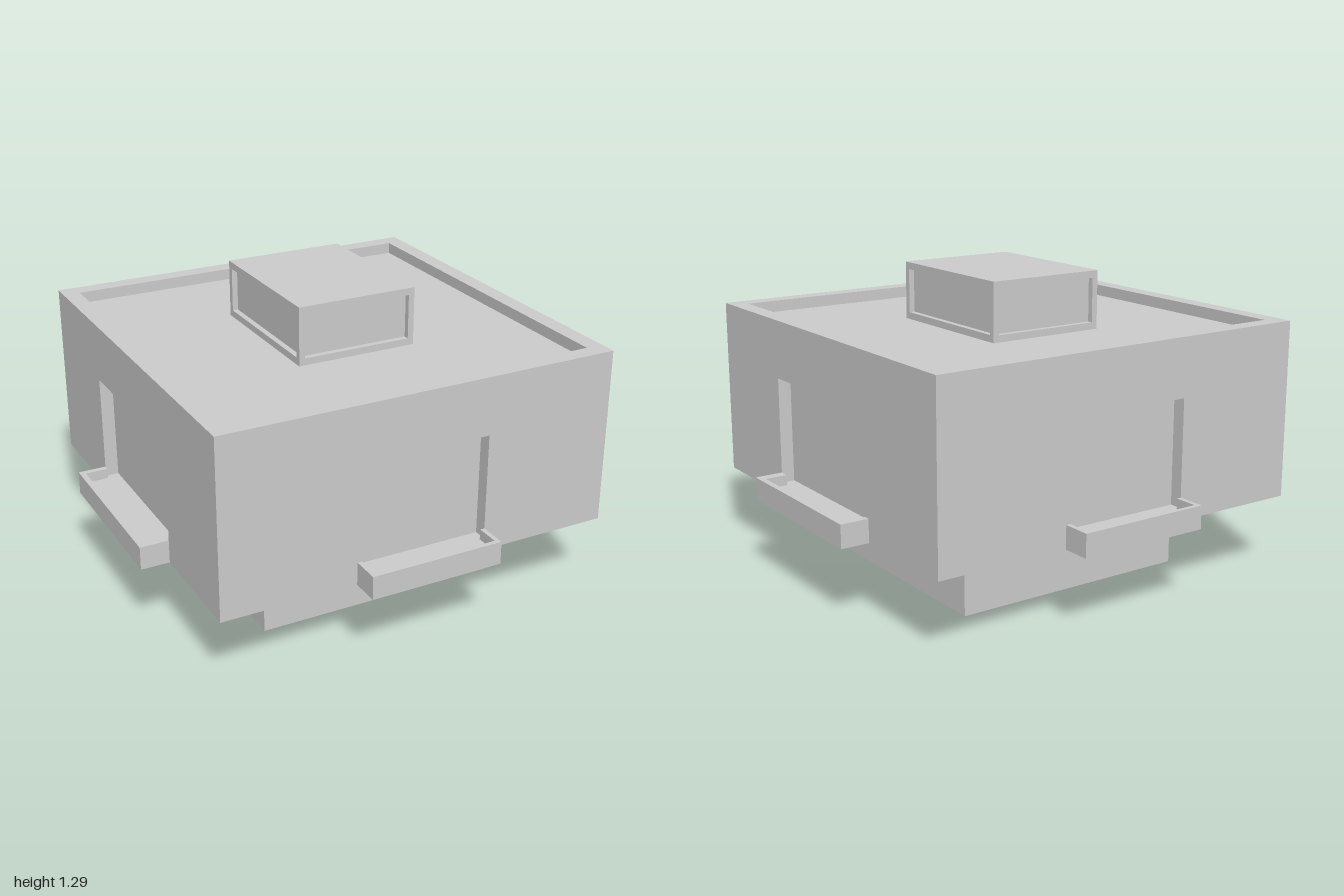
import * as THREE from 'three';

const material = new THREE.MeshStandardMaterial({ color: 0xcccccc, flatShading: true });

function mesh(name, geometry) {
  const m = new THREE.Mesh(geometry, material);
  m.name = name;
  return m;
}

// Box given by its minimum and maximum corners
function block(name, [x0, y0, z0], [x1, y1, z1]) {
  const g = new THREE.BoxGeometry(x1 - x0, y1 - y0, z1 - z0);
  g.translate((x0 + x1) / 2, (y0 + y1) / 2, (z0 + z1) / 2);
  return mesh(name, g);
}

function polygon(points, Type = THREE.Shape) {
  return new Type(points.map(([x, y]) => new THREE.Vector2(x, y)));
}

const rect = (x0, y0, x1, y1) => [[x0, y0], [x1, y0], [x1, y1], [x0, y1]];

// Wall with one opening, outer face at z = 0, ends mitred to meet its neighbours
function mitredWall(name, half, y0, y1, thick, openHalf, open0, open1) {
  const shape = polygon(rect(-half, y0, half, y1));
  shape.holes.push(polygon(rect(-openHalf, open0, openHalf, open1).reverse(), THREE.Path));
  const g = new THREE.ExtrudeGeometry(shape, { depth: thick, bevelEnabled: false });
  g.translate(0, 0, -thick);
  const p = g.attributes.position;
  for (let i = 0; i < p.count; i++) {
    const x = p.getX(i);
    if (p.getZ(i) < -thick / 2 && Math.abs(x) > half - 1e-4) p.setX(i, x - Math.sign(x) * thick);
  }
  g.computeVertexNormals();
  return mesh(name, g);
}

// Balcony tray: U-shaped rim around a lower floor
function balcony(half, rimLeft, rimRight, rimFront) {
  const group = new THREE.Group();
  group.name = 'balcony';
  const out = 0.123, a = -half + rimLeft, b = half - rimRight, c = out - rimFront;
  const plan = [[-half, 0], [-half, -out], [half, -out], [half, 0], [b, 0], [b, -c], [a, -c], [a, 0]];
  const rim = new THREE.ExtrudeGeometry(polygon(plan), { depth: 0.1, bevelEnabled: false });
  rim.rotateX(-Math.PI / 2);
  rim.translate(0, 0.33, 0);
  group.add(mesh('balconyRim', rim));
  group.add(block('balconyFloor', [a, 0.33, 0], [b, 0.385, c]));
  return group;
}

export function createModel() {
  const model = new THREE.Group();
  const HX = 0.875, HZ = 0.87, WALL = 0.075;

  // Plinth, and the solid core whose top is the sunken roof
  model.add(block('plinth', [-0.54, 0, -0.537], [0.54, 0.33, 0.537]));
  model.add(block('roofCore', [-HX + WALL, 0.33, -HZ + WALL], [HX - WALL, 1.045, HZ - WALL]));

  // Roof house: core plus four framed sides
  const house = new THREE.Group();
  house.name = 'roofHouse';
  house.position.z = -0.01;
  const BX = 0.265, BZ = 0.335, FRAME = 0.025;
  house.add(block('roofHouseCore', [-BX + FRAME, 1.045, -BZ + FRAME], [BX - FRAME, 1.295, BZ - FRAME]));
  model.add(house);

  // Four sides: front, left, back, right
  const names = ['front', 'left', 'back', 'right'];
  for (let i = 0; i < 4; i++) {
    const side = i % 2 === 1;
    const angle = (i * Math.PI) / 2;

    const facade = new THREE.Group();
    facade.name = names[i] + 'Facade';
    const openHalf = side ? 0.372 : 0.293;
    facade.add(mitredWall('wall', side ? HZ : HX, 0.33, 1.095, WALL, openHalf, 0.385, 0.845));
    // Recessed pane in the opening
    facade.add(block('windowPane', [-openHalf, 0.385, -WALL], [openHalf, 0.845, -0.057]));
    // Side balconies have a thicker rim towards the front
    if (side) facade.add(balcony(openHalf, i === 1 ? 0.045 : 0.025, i === 1 ? 0.025 : 0.045, 0.025));
    else facade.add(balcony(openHalf, 0.02, 0.02, 0.02));
    const d = side ? HX : HZ;
    facade.position.set(Math.sin(angle) * d, 0, Math.cos(angle) * d);
    facade.rotation.y = angle;
    model.add(facade);

    const half = side ? BZ : BX;
    const frame = mitredWall('roofHouseFrame', half, 1.045, 1.295, FRAME, half - FRAME - 0.001, 1.075, 1.265);
    const e = side ? BX : BZ;
    frame.position.set(Math.sin(angle) * e, 0, Math.cos(angle) * e);
    frame.rotation.y = angle;
    house.add(frame);
  }
  return model;
}
